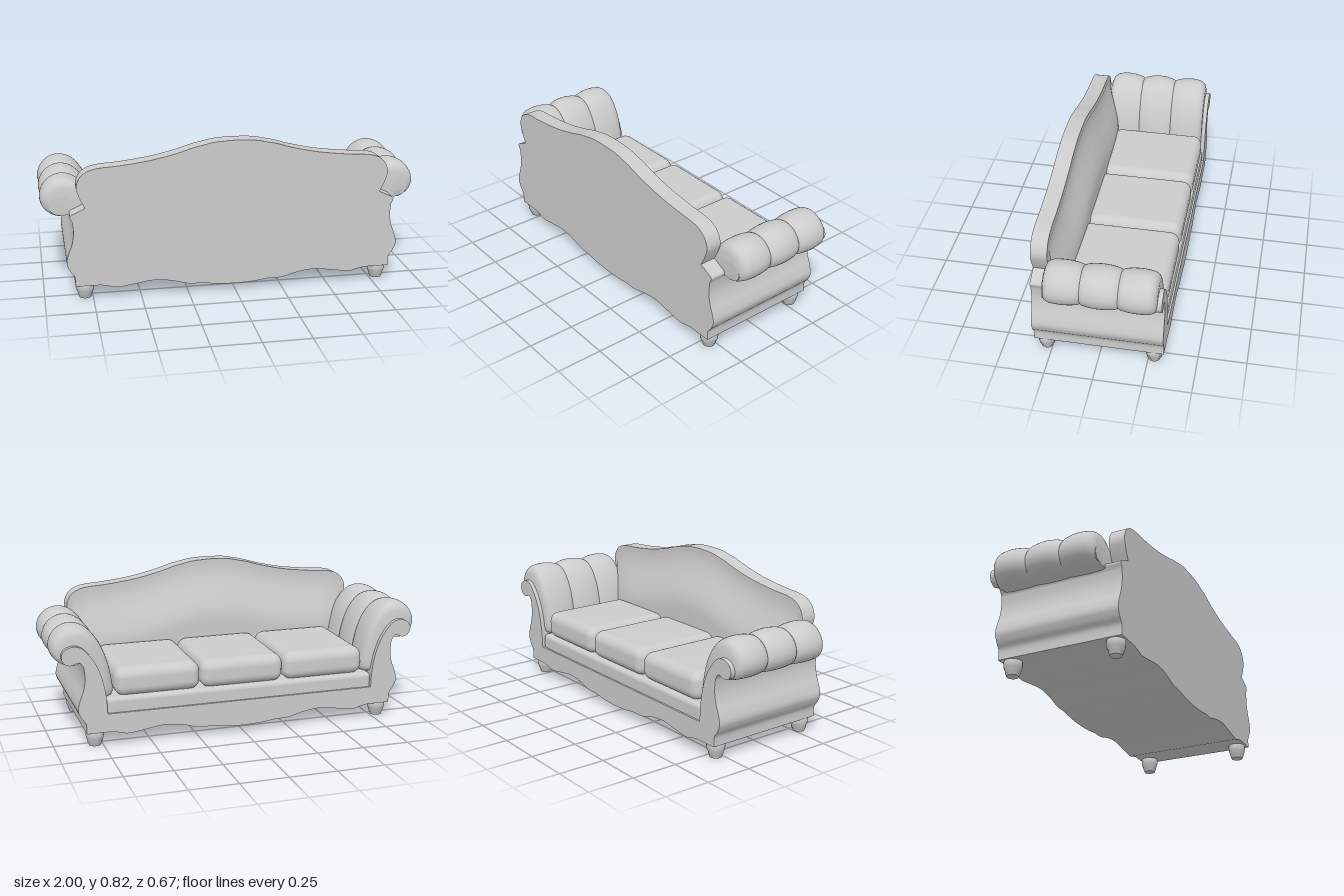
import * as THREE from 'three';
import { toCreasedNormals, mergeVertices } from 'three/addons/utils/BufferGeometryUtils.js';
import { RoundedBoxGeometry } from 'three/addons/geometries/RoundedBoxGeometry.js';

const mat = new THREE.MeshStandardMaterial({ color: 0xcccccc, side: THREE.DoubleSide });
const vec = ([x, y]) => new THREE.Vector2(x, y);

function add(parent, name, geometry, x = 0, y = 0, z = 0) {
  const mesh = new THREE.Mesh(geometry, mat);
  mesh.name = name;
  mesh.position.set(x, y, z);
  parent.add(mesh);
  return mesh;
}

// Joins smooth runs at sharp corners, then mirrors the half outline across x = 0
function mirroredShape(runs) {
  const half = [];
  for (const run of runs) {
    const n = run.length > 2 ? (run.length - 1) * 5 : 1;
    const pts = new THREE.SplineCurve(run.map(vec)).getPoints(n);
    half.push(...(half.length ? pts.slice(1) : pts));
  }
  const other = half.slice(1, -1).reverse().map(p => new THREE.Vector2(-p.x, p.y));
  return new THREE.Shape([...half, ...other]);
}

function slab(shape, z0, z1) {
  const g = new THREE.ExtrudeGeometry(shape, { depth: z1 - z0, bevelEnabled: false });
  return toCreasedNormals(g.translate(0, 0, z0), 0.6);
}

// Scalloped lower edge and bulging side, shared by frame and back
const apron = [[0, 0.035], [0.1, 0.04], [0.18, 0.05], [0.25, 0.052], [0.34, 0.075], [0.43, 0.085],
  [0.52, 0.074], [0.62, 0.06], [0.67, 0.07], [0.71, 0.078]];
const foot = [[0.71, 0.078], [0.84, 0.078]];
const side = [[0.84, 0.078], [0.842, 0.13], [0.865, 0.165], [0.88, 0.205], [0.872, 0.25],
  [0.85, 0.31], [0.84, 0.37], [0.845, 0.43]];

// Upper edge of the back, from centre to shoulder
const crest = [[0, 0.82], [0.1, 0.815], [0.16, 0.803], [0.22, 0.79], [0.3, 0.766], [0.44, 0.735],
  [0.6, 0.715], [0.7, 0.708], [0.76, 0.693], [0.8, 0.66], [0.818, 0.61], [0.805, 0.56], [0.777, 0.5]];

// Height of the crest at a given x
function crestY(x) {
  const a = Math.abs(x);
  for (let i = 1; i < 10; i++) {
    const [x0, y0] = crest[i - 1], [x1, y1] = crest[i];
    if (a <= x1) return y0 + (y1 - y0) * (a - x0) / (x1 - x0);
  }
  return 0.66;
}

// Padded back: a sheet that swells forward below the crest
function backPadGeometry() {
  const g = new THREE.PlaneGeometry(2, 1, 60, 24);
  const p = g.attributes.position;
  for (let i = 0; i < p.count; i++) {
    const u = p.getX(i), v = p.getY(i) + 0.5;
    const x = -u * 0.785;
    const top = crestY(x) - 0.025;
    const y = 0.24 + v * (top - 0.24);
    const swell = THREE.MathUtils.smoothstep(top - y, 0, 0.3);
    const ends = Math.sqrt(Math.max(0, 1 - Math.pow(Math.abs(u), 4)));
    p.setXYZ(i, x, y, 0.247 - 0.08 * swell * (0.4 + 0.6 * ends));
  }
  g.computeVertexNormals();
  return g;
}

// Arm padding: one closed section lofted along z in three puffs
function armPadGeometry() {
  const section = new THREE.CatmullRomCurve3([[0.69, 0.26], [0.692, 0.36], [0.72, 0.47], [0.765, 0.56],
    [0.82, 0.615], [0.885, 0.633], [0.95, 0.612], [0.99, 0.565], [1, 0.51], [0.975, 0.46], [0.92, 0.434],
    [0.86, 0.44], [0.81, 0.4], [0.78, 0.26]].map(([x, y]) => new THREE.Vector3(x, y, 0)), true)
    .getPoints(56).slice(0, -1);
  const rows = 60, n = section.length, cx = 0.84, cy = 0.48;
  const pos = [], idx = [];
  for (let r = -1; r <= rows + 1; r++) {
    const t = THREE.MathUtils.clamp(r / rows, 0, 1);
    const puff = 0.86 + 0.14 * Math.pow(Math.abs(Math.sin(3 * Math.PI * t)), 0.6);
    const edge = Math.min(1, Math.min(t, 1 - t) / 0.07);
    const round = 0.8 + 0.2 * Math.sqrt(1 - (1 - edge) ** 2);
    const s = r < 0 || r > rows ? 0.001 : puff * round;
    for (const q of section) {
      // keep the underside level and the lower leg in place
      const k = q.y < 0.45 && s > 0.01 ? 1 - (1 - s) * 0.35 : s;
      pos.push(cx + (q.x - cx) * s, cy + (q.y - cy) * k, -0.312 + 0.562 * t);
    }
  }
  for (let r = 0; r < rows + 2; r++) {
    for (let i = 0; i < n; i++) {
      const a = r * n + i, b = r * n + (i + 1) % n;
      idx.push(a, a + n, b, b, a + n, b + n);
    }
  }
  const g = new THREE.BufferGeometry();
  g.setAttribute('position', new THREE.Float32BufferAttribute(pos, 3));
  g.setIndex(idx);
  return toCreasedNormals(g, 0.9);
}

// Seat cushion: rounded box with a crowned top
function cushionGeometry() {
  let g = new RoundedBoxGeometry(0.452, 0.135, 0.525, 5, 0.05);
  // a finer crown needs inner vertices, so sides are bowed by position only
  const p = g.attributes.position;
  for (let i = 0; i < p.count; i++) {
    const x = p.getX(i) / 0.226, z = p.getZ(i) / 0.2625;
    if (p.getY(i) > 0) p.setY(i, p.getY(i) + 0.03 * (1 - x * x * 0.5) * (1 - z * z * 0.5));
  }
  g.deleteAttribute('normal');
  g.deleteAttribute('uv');
  g = mergeVertices(g, 1e-4);
  g.computeVertexNormals();
  return g;
}

export function createModel() {
  const sofa = new THREE.Group();
  sofa.name = 'sofa';

  // Frame with scrolled arms and low seat rail
  const scroll = [[0.845, 0.43], [0.868, 0.457], [0.91, 0.445], [0.942, 0.458], [0.955, 0.49],
    [0.94, 0.525], [0.895, 0.542], [0.845, 0.525], [0.79, 0.455], [0.755, 0.37], [0.735, 0.27], [0.73, 0.175]];
  const rail = [[0.73, 0.175], [0, 0.175]];
  add(sofa, 'frame', slab(mirroredShape([apron, foot, side, scroll, rail]), -0.335, 0.25));

  // Shaped back panel
  const shoulder = [[0.845, 0.43], [0.855, 0.46], [0.82, 0.48], [0.777, 0.5]];
  const top = crest.slice().reverse();
  add(sofa, 'backPanel', slab(mirroredShape([apron, foot, side, shoulder, top]), 0.25, 0.335));
  add(sofa, 'backPad', backPadGeometry());

  // Seat deck and cushions
  add(sofa, 'seatDeck', new RoundedBoxGeometry(1.47, 0.1, 0.575, 4, 0.025), 0, 0.205, -0.038);
  const cushion = cushionGeometry();
  for (const i of [-1, 0, 1]) add(sofa, 'seatCushion', cushion, i * 0.457, 0.32, -0.063);

  // Arm padding and turned feet, mirrored
  const armPad = armPadGeometry();
  const footProfile = [[0, 0], [0.031, 0], [0.034, 0.012], [0.038, 0.017], [0.039, 0.03], [0.044, 0.038],
    [0.047, 0.055], [0.047, 0.07], [0.043, 0.085]].map(vec);
  const footGeometry = toCreasedNormals(new THREE.LatheGeometry(footProfile, 24), 0.7);
  for (const s of [-1, 1]) {
    add(sofa, 'armPad', armPad).scale.x = s;
    for (const z of [-0.28, 0.28]) add(sofa, 'foot', footGeometry, s * 0.79, 0, z);
  }
  return sofa;
}
